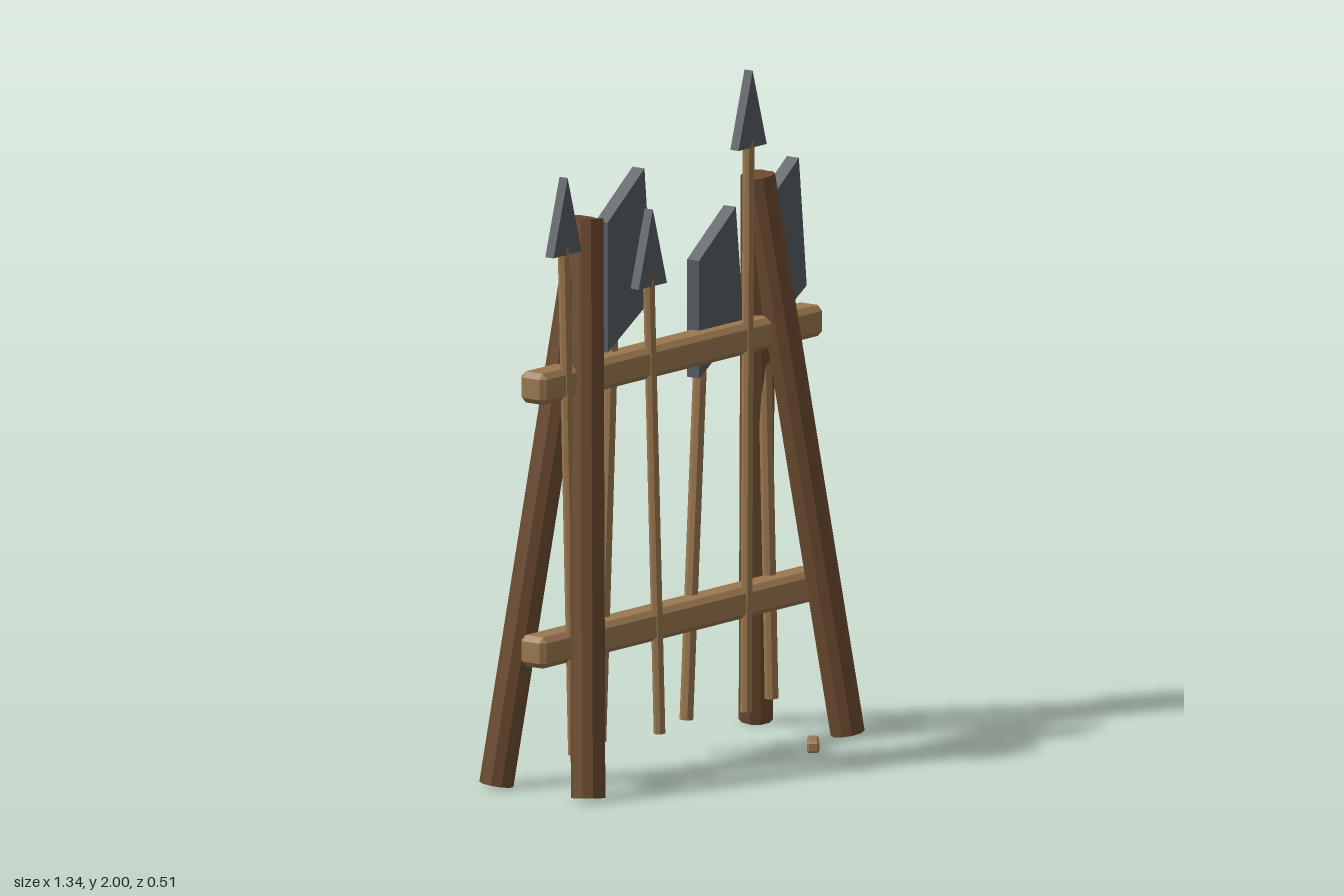
import * as THREE from 'three';
import { ConvexGeometry } from 'three/addons/geometries/ConvexGeometry.js';

const V = (x, y, z) => new THREE.Vector3(x, y, z);

function material(name, color) {
  const m = new THREE.MeshStandardMaterial({ color });
  m.name = name;
  return m;
}

// Faceted round pole between two points
function pole(name, a, b, radius, sides, mat) {
  const geo = new THREE.CylinderGeometry(radius, radius, a.distanceTo(b), sides).toNonIndexed();
  geo.computeVertexNormals();
  const mesh = new THREE.Mesh(geo, mat);
  mesh.name = name;
  mesh.position.copy(a).add(b).multiplyScalar(0.5);
  mesh.quaternion.setFromUnitVectors(V(0, 1, 0), b.clone().sub(a).normalize());
  return mesh;
}

// Box with all edges chamfered
function chamferBox(name, w, h, d, c, mat) {
  const points = [];
  for (const x of [-1, 1]) for (const y of [-1, 1]) for (const z of [-1, 1]) {
    for (let full = 0; full < 3; full++) {
      const inset = [c, c, c];
      inset[full] = 0;
      points.push(V(x * (w / 2 - inset[0]), y * (h / 2 - inset[1]), z * (d / 2 - inset[2])));
    }
  }
  const mesh = new THREE.Mesh(new ConvexGeometry(points), mat);
  mesh.name = name;
  return mesh;
}

// Flat plate cut from an outline and centred on depth z
function plate(name, outline, thickness, z, mat) {
  const shape = new THREE.Shape(outline.map(([x, y]) => new THREE.Vector2(x, y)));
  const geo = new THREE.ExtrudeGeometry(shape, { depth: thickness, bevelEnabled: false });
  geo.translate(0, 0, z - thickness / 2);
  const mesh = new THREE.Mesh(geo, mat);
  mesh.name = name;
  return mesh;
}

export function createModel() {
  const rack = new THREE.Group();
  rack.name = 'weaponRack';
  const darkWood = material('dark wood', 0x6b4a2f);
  const lightWood = material('light wood', 0x9b7850);
  const iron = material('dark iron', 0x555b60);

  // Two A-frames, each a pair of splayed legs meeting at the top
  const midZ = -0.043;
  for (const side of [-1, 1]) {
    for (const dz of [-1, 1]) {
      rack.add(pole(`${dz > 0 ? 'front' : 'back'}${side > 0 ? 'Left' : 'Right'}Leg`,
        V(side * 0.615, 0.011, midZ + dz * 0.168), V(side * 0.407, 1.67, midZ), 0.05, 10, darkWood));
    }
  }

  // Crossbeams
  for (const [name, y] of [['upperBeam', 1.207], ['lowerBeam', 0.428]]) {
    const beam = chamferBox(name, 1.335, 0.092, 0.094, 0.016, lightWood);
    beam.position.set(0, y, midZ - 0.001);
    rack.add(beam);
  }

  // Spears: foot x, head x, height of the head's base
  const spearZ = -0.006;
  for (const [footX, headX, y] of [[-0.513, -0.562, 1.593], [-0.107, -0.158, 1.437], [0.303, 0.315, 1.773]]) {
    const spear = new THREE.Group();
    spear.name = 'spear';
    spear.add(pole('spearShaft', V(footX, 0.107, spearZ), V(headX, y + 0.02, spearZ), 0.017, 8, lightWood));
    spear.add(plate('spearHead', [[headX - 0.067, y], [headX + 0.067, y], [headX, y + 0.227]], 0.03, spearZ, iron));
    rack.add(spear);
  }

  // Axes: foot x, shaft x at the top, blade's upper inner corner, blade height
  const axeZ = -0.07;
  for (const [footX, topX, x, y, h] of [
    [-0.309, -0.245, -0.298, 1.64, 0.384],
    [0.103, 0.175, 0.135, 1.459, 0.347],
    [0.507, 0.468, 0.434, 1.557, 0.378],
  ]) {
    const axe = new THREE.Group();
    axe.name = 'axe';
    axe.add(pole('axeShaft', V(footX, 0.107, axeZ), V(topX, y - 0.2, axeZ), 0.02, 8, lightWood));
    axe.add(plate('axeBlade', [
      [x, y], [x, y - h], [x + 0.211, y - h + 0.128], [x + 0.174, y + 0.133],
    ], 0.044, axeZ, iron));
    rack.add(axe);
  }

  // Loose scrap of wood on the ground
  const scrap = chamferBox('woodScrap', 0.1, 0.034, 0.036, 0.006, lightWood);
  scrap.position.set(0.341, 0.03, 0.21);
  scrap.rotation.y = 0.66;
  rack.add(scrap);

  return rack;
}
